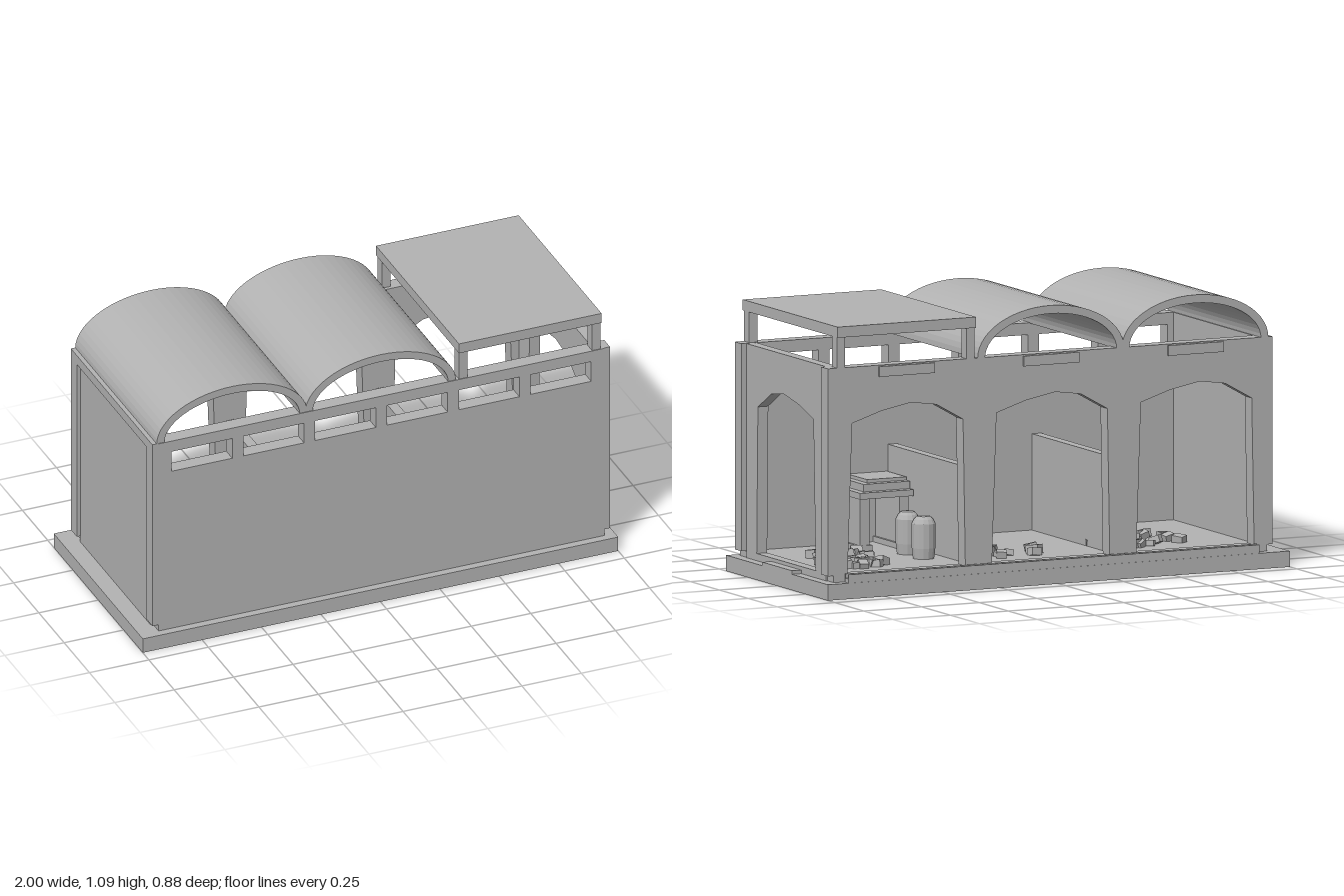
import * as THREE from 'three';

export function createModel() {
  const model = new THREE.Group();
  model.name = 'arcadedHall';
  const stone = new THREE.MeshStandardMaterial({ color: 0xb2b2b2 });
  stone.name = 'grey stone';

  const add = (name, geometry, parent = model) => {
    const mesh = new THREE.Mesh(geometry, stone);
    mesh.name = name;
    parent.add(mesh);
    return mesh;
  };
  // Box given by its limits on each axis
  const box = (name, x0, x1, y0, y1, z0, z1, parent) => {
    const g = new THREE.BoxGeometry(x1 - x0, y1 - y0, z1 - z0);
    g.translate((x0 + x1) / 2, (y0 + y1) / 2, (z0 + z1) / 2);
    return add(name, g, parent);
  };
  const poly = (pts, Type = THREE.Shape) => new Type(pts.map(([x, y]) => new THREE.Vector2(x, y)));
  const rect = (x0, x1, y0, y1, Type) => poly([[x0, y0], [x1, y0], [x1, y1], [x0, y1]], Type);
  const extrude = (shape, depth) => new THREE.ExtrudeGeometry(shape, { depth, bevelEnabled: false });
  const archHole = (c) => poly([
    [-0.255, 0.09], [0.255, 0.09], [0.235, 0.68], [0.11, 0.72],
    [-0.02, 0.745], [-0.13, 0.73], [-0.245, 0.665],
  ].map(([u, y]) => [u + c, y]), THREE.Path);

  const bays = [-0.61, 0.015, 0.64];

  // Base, floor and doorstep
  box('basePlinth', -1, 1, 0, 0.062, -0.44, 0.44);
  box('floor', -0.92, 0.955, 0.062, 0.088, -0.4, 0.405);
  box('doorstep', 0.95, 1, 0.062, 0.076, -0.13, 0.13);

  // Front wall with a row of windows
  const front = rect(-0.92, 0.955, 0.062, 0.9);
  for (let i = 0; i < 6; i++) {
    const x = -0.865 + i * 0.302;
    front.holes.push(rect(x, x + 0.255, 0.765, 0.853, THREE.Path));
  }
  const frontWall = extrude(front, 0.06);
  frontWall.translate(0, 0, 0.348);
  add('frontWall', frontWall);

  // Back wall with one arch per bay
  const back = rect(-0.92, 0.955, 0.062, 0.9);
  bays.forEach((c) => back.holes.push(archHole(c)));
  const backWall = extrude(back, 0.06);
  backWall.translate(0, 0, -0.4);
  add('backWall', backWall);
  bays.forEach((c) => box('lintelPlate', c - 0.12, c + 0.12, 0.855, 0.895, -0.408, -0.4));

  // End walls: one arched, one solid
  const end = rect(-0.345, 0.345, 0.062, 0.9);
  end.holes.push(archHole(0));
  const endWall = extrude(end, 0.045);
  endWall.rotateY(Math.PI / 2);
  endWall.translate(0.915, 0, 0);
  add('archedEndWall', endWall);
  box('solidEndWall', -0.93, -0.89, 0.062, 0.9, -0.345, 0.35);

  // Corner pilasters and top bands on the ends
  for (const [z0, z1] of [[-0.4, -0.342], [0.348, 0.405]]) {
    box('cornerPilaster', 0.95, 0.98, 0.088, 0.9, z0, z1);
    box('cornerPilaster', -0.945, -0.915, 0.088, 0.9, z0, z1);
  }
  box('endBand', -0.945, -0.92, 0.86, 0.9, -0.35, 0.35);

  // Low partitions between bays
  for (const x of [-0.298, 0.325]) box('partition', x - 0.02, x + 0.02, 0.088, 0.465, -0.345, 0.35);

  // Barrel vault roofs
  for (const c of bays.slice(0, 2)) {
    const pts = [];
    const n = 28;
    for (let i = 0; i <= n; i++) {
      const a = (Math.PI * i) / n;
      pts.push([c + 0.317 * Math.cos(a), 0.897 + 0.188 * Math.sin(a)]);
    }
    for (let i = n; i >= 0; i--) {
      const a = (Math.PI * i) / n;
      pts.push([c + 0.285 * Math.cos(a), 0.897 + 0.156 * Math.sin(a)]);
    }
    const vault = extrude(poly(pts), 0.805);
    vault.translate(0, 0, -0.4);
    add('vaultRoof', vault);
  }

  // Flat canopy on four posts
  box('flatRoof', 0.342, 0.942, 1.02, 1.062, -0.408, 0.412);
  for (const x of [0.345, 0.905]) {
    for (const z of [-0.4, 0.36]) box('roofPost', x, x + 0.035, 0.9, 1.02, z, z + 0.045);
  }

  // Gutter along the back of the base
  const gutter = new THREE.Group();
  gutter.name = 'gutter';
  model.add(gutter);
  box('gutterBed', -0.87, 0.91, 0.062, 0.078, -0.438, -0.406, gutter);
  box('gutterLip', -0.87, 0.91, 0.078, 0.095, -0.438, -0.432, gutter);
  box('gutterLip', -0.87, 0.91, 0.078, 0.095, -0.412, -0.406, gutter);

  // Stepped hearth against the front wall
  const hearth = new THREE.Group();
  hearth.name = 'hearth';
  model.add(hearth);
  for (const x of [0.36, 0.53]) {
    box('hearthLeg', x, x + 0.04, 0.11, 0.295, 0.14, 0.35, hearth);
    box('hearthFoot', x - 0.01, x + 0.05, 0.088, 0.11, 0.135, 0.35, hearth);
  }
  [[0.12, 0.293, 0.318], [0.15, 0.318, 0.347], [0.18, 0.347, 0.36]].forEach(([z, y0, y1], i) =>
    box('hearthStep', 0.35, 0.58 - i * 0.03, y0, y1, z, 0.35, hearth));

  // Barrels beside the partition
  const profile = [[0, 0.088], [0.042, 0.088], [0.047, 0.13], [0.047, 0.225], [0.038, 0.242], [0.026, 0.253], [0, 0.255]];
  for (const z of [0.01, -0.128]) {
    const pts = profile.map(([x, y]) => new THREE.Vector2(x, y));
    const barrel = new THREE.LatheGeometry(pts, 14).toNonIndexed();
    barrel.computeVertexNormals();
    barrel.translate(0.43, 0, z);
    add('barrel', barrel);
  }

  // Scattered rubble blocks
  let seed = 7;
  const rnd = () => (seed = (seed * 16807) % 2147483647) / 2147483647;
  const rubble = new THREE.Group();
  rubble.name = 'rubble';
  model.add(rubble);
  const scatter = (count, cx, cz, rx, rz) => {
    for (let i = 0; i < count; i++) {
      const s = 0.025 + 0.02 * rnd();
      const stoneBlock = add('rubbleBlock', new THREE.BoxGeometry(s * 1.2, s * 0.8, s), rubble);
      const a = rnd() * Math.PI * 2;
      const r = Math.sqrt(rnd());
      stoneBlock.position.set(cx + rx * r * Math.cos(a), 0.1 + 0.02 * rnd() * (1 - r), cz + rz * r * Math.sin(a));
      stoneBlock.rotation.set((rnd() - 0.5) * 0.5, rnd() * 3, (rnd() - 0.5) * 0.5);
    }
  };
  scatter(45, 0.74, -0.05, 0.14, 0.22);
  scatter(12, 0.12, -0.18, 0.18, 0.1);
  scatter(14, -0.5, -0.12, 0.2, 0.14);

  return model;
}
